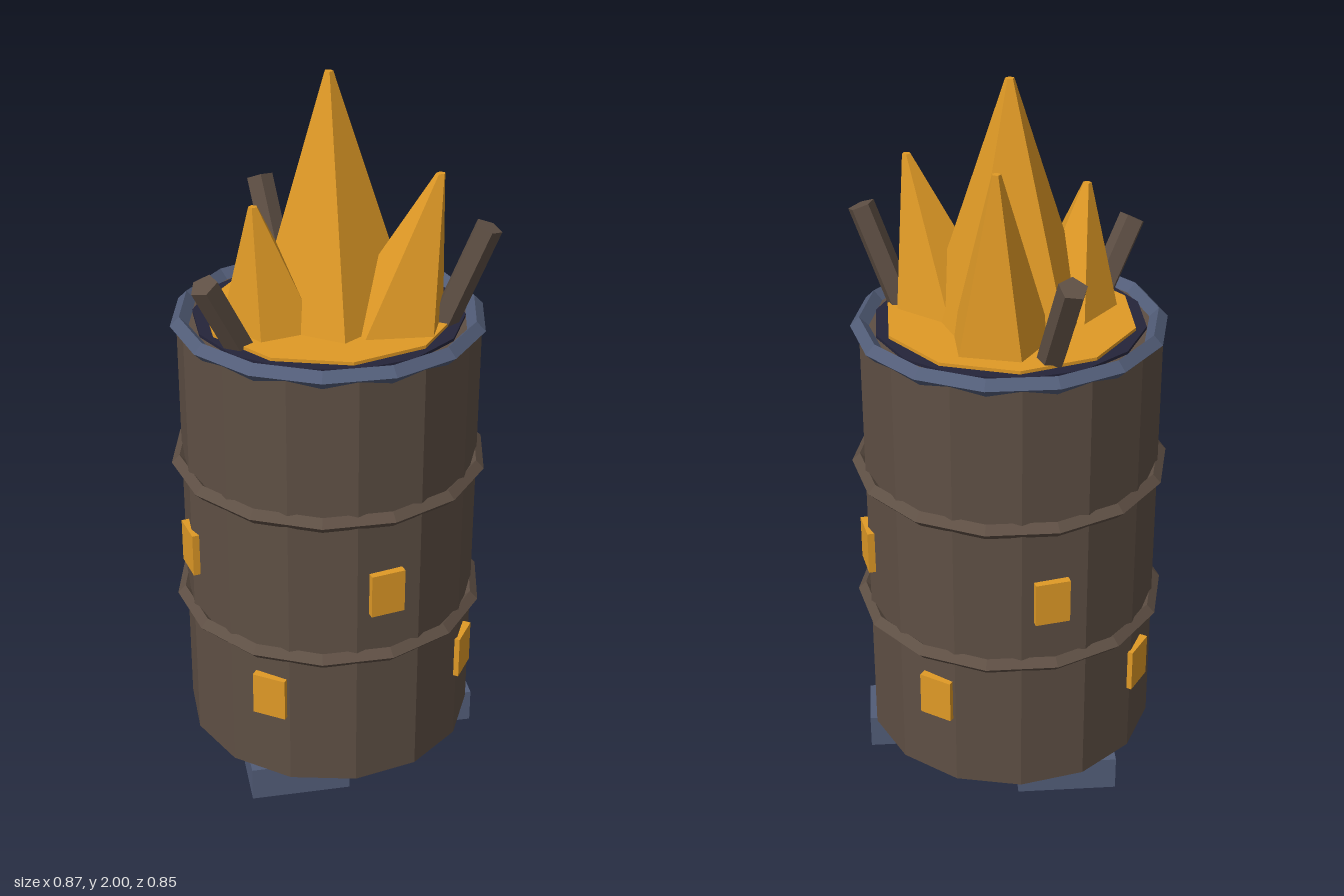
import * as THREE from 'three';

const flat = (name, color) => {
  const m = new THREE.MeshStandardMaterial({ color, flatShading: true });
  m.name = name;
  return m;
};

export function createModel() {
  const group = new THREE.Group();
  const rust = flat('rustyBrown', 0x5e4f44);
  const steel = flat('blueSteel', 0x525d78);
  const coal = flat('darkCoal', 0x24243a);
  const fire = flat('fireOrange', 0xe09a26);

  const add = (name, geometry, material, x = 0, y = 0, z = 0) => {
    const mesh = new THREE.Mesh(geometry, material);
    mesh.name = name;
    mesh.position.set(x, y, z);
    group.add(mesh);
    return mesh;
  };

  // Barrel body with two ridges and a rim
  add('barrel', new THREE.CylinderGeometry(0.41, 0.41, 1.24, 14), rust, 0, 0.72, 0);
  const ring = (name, radius, tube, y, material) => {
    const g = new THREE.TorusGeometry(radius, tube, 4, 14).rotateX(Math.PI / 2);
    add(name, g, material, 0, y, 0);
  };
  ring('lowerRidge', 0.415, 0.022, 0.51, rust);
  ring('upperRidge', 0.415, 0.022, 0.933, rust);
  ring('rim', 0.4, 0.025, 1.34, steel);

  // Coal bed and glowing embers
  add('coalBed', new THREE.CylinderGeometry(0.365, 0.365, 0.03, 14), coal, 0, 1.333, 0);
  add('embers', new THREE.CylinderGeometry(0.34, 0.34, 0.03, 10), fire, 0, 1.342, 0);

  // Three feet
  for (let i = 0; i < 3; i++) {
    const a = (i * Math.PI * 2) / 3;
    add('foot', new THREE.BoxGeometry(0.28, 0.1, 0.16), steel,
      Math.cos(a) * 0.28, 0.05, Math.sin(a) * 0.28);
  }

  // Glowing vents, alternating between two heights
  for (let i = 0; i < 8; i++) {
    const a = 0.2 + (i * Math.PI) / 4;
    const vent = add('vent', new THREE.BoxGeometry(0.095, 0.125, 0.03), fire,
      Math.sin(a) * 0.405, i % 2 ? 0.37 : 0.707, Math.cos(a) * 0.405);
    vent.rotation.y = a;
  }

  // Flames: five-sided spikes whose tips lean outwards
  const base = 1.35;
  const flame = (x, z, radius, turn, tipX, tipY, tipZ) => {
    const h = tipY - base;
    const g = new THREE.CylinderGeometry(0.012, radius, h, 5, 1, false, THREE.MathUtils.degToRad(turn));
    g.translate(0, h / 2, 0);
    const p = g.attributes.position;
    for (let i = 0; i < p.count; i++) {
      const t = p.getY(i) / h;
      p.setX(i, p.getX(i) + (tipX - x) * t);
      p.setZ(i, p.getZ(i) + (tipZ - z) * t);
    }
    g.computeVertexNormals();
    add('flame', g, fire, x, base, z);
  };
  flame(0, 0, 0.23, 0, 0, 2.0, 0);
  flame(0.04, -0.16, 0.14, -15.5, 0.05, 1.83, -0.225);
  flame(0.15, 0.1, 0.153, 32, 0.26, 1.765, 0.14);
  flame(-0.158, 0.055, 0.137, -22, -0.21, 1.69, 0.09);

  // Logs poking out of the fire
  const log = (from, to) => {
    const a = new THREE.Vector3(...from), b = new THREE.Vector3(...to);
    const dir = b.clone().sub(a);
    a.addScaledVector(dir, -0.4);
    const mesh = add('log', new THREE.CylinderGeometry(0.038, 0.038, a.distanceTo(b), 5), rust);
    mesh.position.copy(a).add(b).multiplyScalar(0.5);
    mesh.quaternion.setFromUnitVectors(new THREE.Vector3(0, 1, 0), dir.normalize());
  };
  log([-0.085, 1.36, -0.28], [-0.122, 1.6, -0.397]);
  log([-0.27, 1.36, 0.168], [-0.355, 1.54, 0.218]);
  log([0.29, 1.36, 0.12], [0.385, 1.62, 0.157]);

  return group;
}
